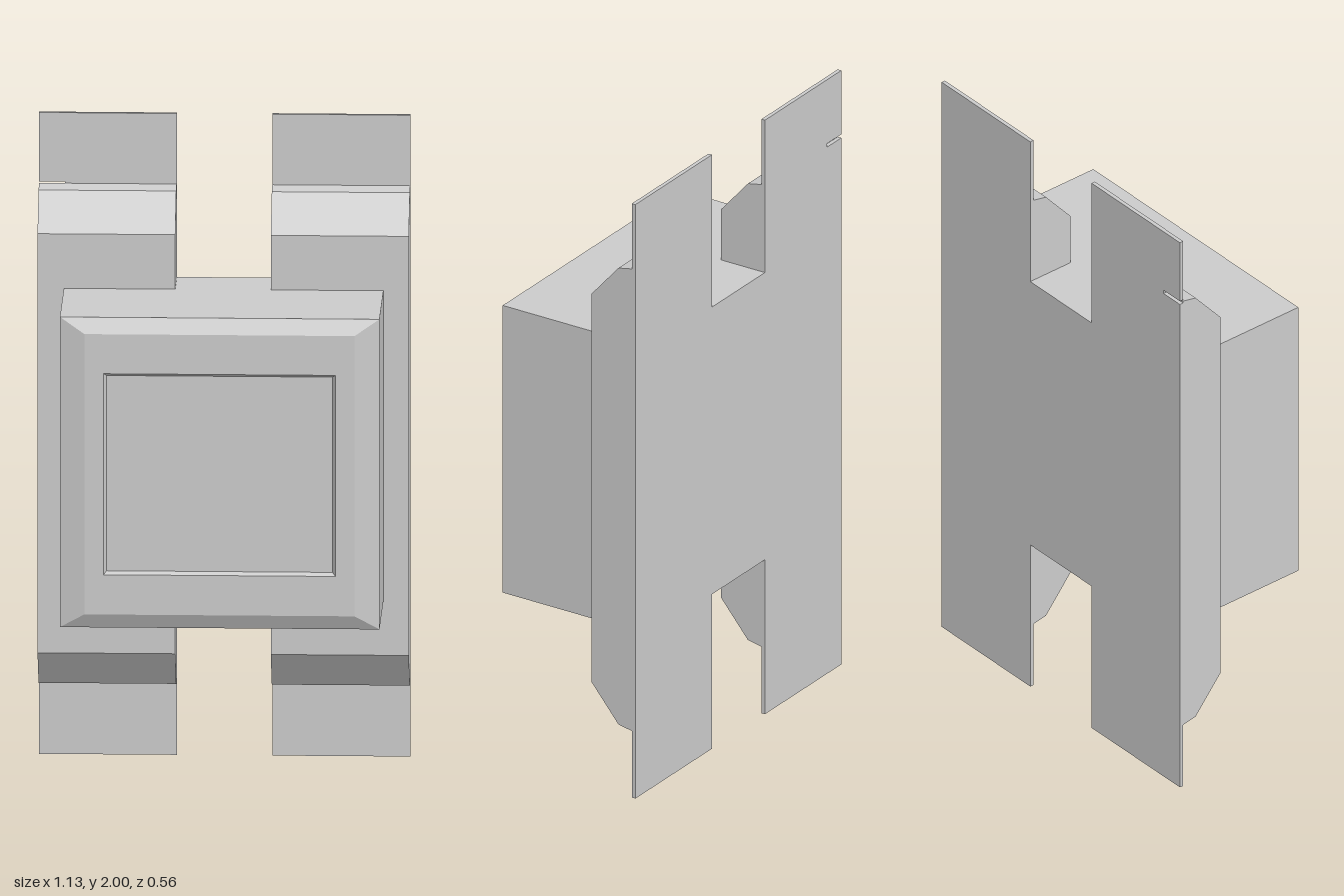
import * as THREE from 'three';

const material = new THREE.MeshStandardMaterial({ color: 0xcccccc, flatShading: true });

const BACK = -0.28;
const PLATE_FRONT = -0.267;

function part(name, geometry) {
  const mesh = new THREE.Mesh(geometry, material);
  mesh.name = name;
  return mesh;
}

function shapeFrom(points) {
  return new THREE.Shape(points.map(([x, y]) => new THREE.Vector2(x, y)));
}

// Joins rectangular sections [halfWidth, bottom, top, z] and caps both ends
function rectLoft(sections) {
  const loops = sections.map(([w, y0, y1, z]) => [[-w, y0, z], [w, y0, z], [w, y1, z], [-w, y1, z]]);
  const pos = [];
  const quad = (a, b, c, d) => pos.push(...a, ...b, ...c, ...a, ...c, ...d);
  for (let k = 0; k < loops.length - 1; k++) {
    for (let i = 0; i < 4; i++) {
      const j = (i + 1) % 4;
      quad(loops[k][i], loops[k][j], loops[k + 1][j], loops[k + 1][i]);
    }
  }
  quad(...loops[loops.length - 1]);
  quad(...[...loops[0]].reverse());
  const geometry = new THREE.BufferGeometry();
  geometry.setAttribute('position', new THREE.Float32BufferAttribute(pos, 3));
  geometry.computeVertexNormals();
  return geometry;
}

export function createModel() {
  const model = new THREE.Group();
  model.name = 'strappedCase';

  // Thin H-shaped back plate with a small slit in one edge
  const plate = shapeFrom([
    [-0.565, 0], [-0.147, 0], [-0.147, 0.52], [0.143, 0.52], [0.143, 0], [0.562, 0],
    [0.562, 2], [0.143, 2], [0.143, 1.487], [-0.147, 1.487], [-0.147, 2], [-0.565, 2],
    [-0.565, 1.785], [-0.487, 1.785], [-0.487, 1.773], [-0.565, 1.773],
  ]);
  const plateGeometry = new THREE.ExtrudeGeometry(plate, { depth: PLATE_FRONT - BACK, bevelEnabled: false });
  plateGeometry.translate(0, 0, BACK);
  model.add(part('backPlate', plateGeometry));

  // Raised rails with sloped ends, profile in (z, y)
  const railProfile = shapeFrom([
    [PLATE_FRONT, 0.224], [-0.218, 0.233], [-0.12, 0.35],
    [-0.12, 1.657], [-0.218, 1.77], [PLATE_FRONT, 1.78],
  ]);
  for (const [name, x0, x1] of [['rightRail', -0.565, -0.147], ['leftRail', 0.143, 0.562]]) {
    const rail = new THREE.ExtrudeGeometry(railProfile, { depth: x1 - x0, bevelEnabled: false });
    rail.rotateY(-Math.PI / 2).translate(x1, 0, 0);
    model.add(part(name, rail));
  }

  // Main case: box, chamfered front and recessed screen
  model.add(part('case', rectLoft([
    [0.485, 0.52, 1.487, PLATE_FRONT],
    [0.485, 0.52, 1.487, 0.255],
    [0.41, 0.566, 1.44, 0.28],
    [0.352, 0.69, 1.317, 0.28],
    [0.343, 0.699, 1.308, 0.265],
  ])));

  return model;
}
